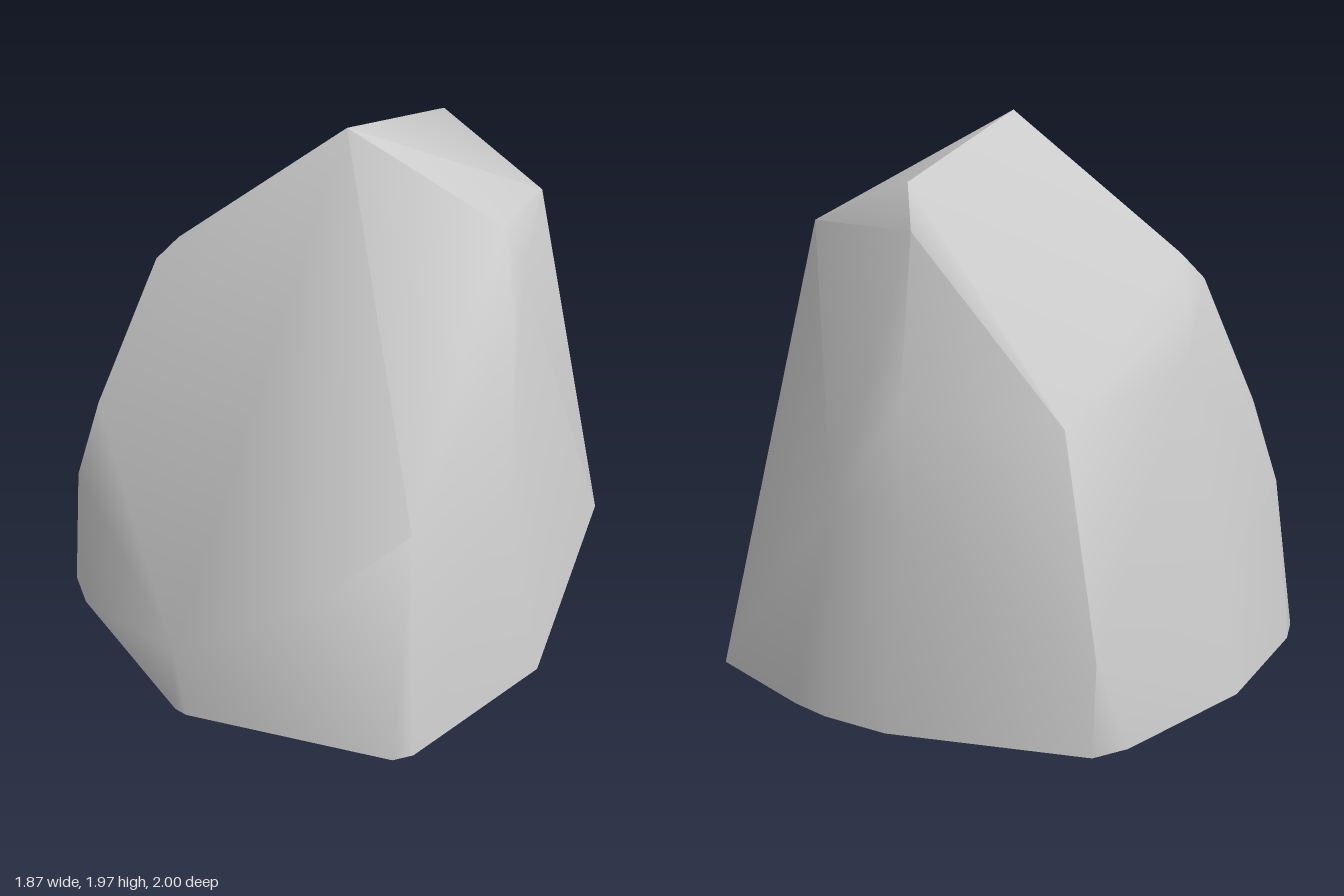
import * as THREE from 'three';
import { ConvexGeometry } from 'three/addons/geometries/ConvexGeometry.js';
import { toCreasedNormals } from 'three/addons/utils/BufferGeometryUtils.js';

const toPoints = (rows) => rows.map(([x, y, z]) => new THREE.Vector3(x, y, z));

export function createModel() {
  // outline of the flat foot
  const foot = toPoints([
    [0.71, 0.02, -0.82], [0.93, 0, 0.09], [0.76, 0, 0.69], [0.71, 0, 0.75],
    [-0.02, 0, 1], [-0.07, 0, 1], [-0.7, 0, 0.78], [-0.82, 0, 0.7],
    [-0.87, 0, 0.55], [-0.94, 0, -0.05], [-0.86, 0.02, -0.68], [-0.8, 0.02, -0.8],
    [-0.3, 0.02, -0.95], [-0.15, 0.02, -1], [0.1, 0.02, -1], [0.25, 0.02, -0.97],
  ]);

  // corners where the weathered flanks change slope
  const flanks = toPoints([
    [-0.05, 0.32, 1], [0.42, 0.66, 0.78], [0.65, 0.91, 0.57],
    [0.8, 0.83, 0.18], [0.1, 0.72, -0.94], [-0.2, 0.72, -0.95],
    [-0.13, 1.06, -0.87], [-0.8, 0.32, -0.78], [-0.64, 1.02, -0.71], [-0.7, 1.12, 0],
    [-0.68, 0.89, 0.6], [-0.75, 0.57, 0.68], [-0.86, 0.4, 0],
  ]);

  // slanted crown and its peak
  const crown = toPoints([
    [0.02, 1.97, 0.02], [0.52, 1.67, -0.17], [0.46, 1.6, -0.56], [0.6, 1.5, -0.18],
    [0.65, 1.34, -0.05], [0, 1.75, -0.64], [-0.07, 1.6, -0.72],
    [-0.54, 1.47, 0.25], [-0.61, 1.38, 0.3], [-0.63, 1.32, 0.15],
  ]);

  const hull = new ConvexGeometry([...foot, ...flanks, ...crown]);
  const rock = new THREE.Mesh(
    toCreasedNormals(hull, THREE.MathUtils.degToRad(50)),
    new THREE.MeshStandardMaterial({ color: 0xcccccc }),
  );
  rock.name = 'rock';

  const group = new THREE.Group();
  group.name = 'boulder';
  group.add(rock);
  return group;
}
